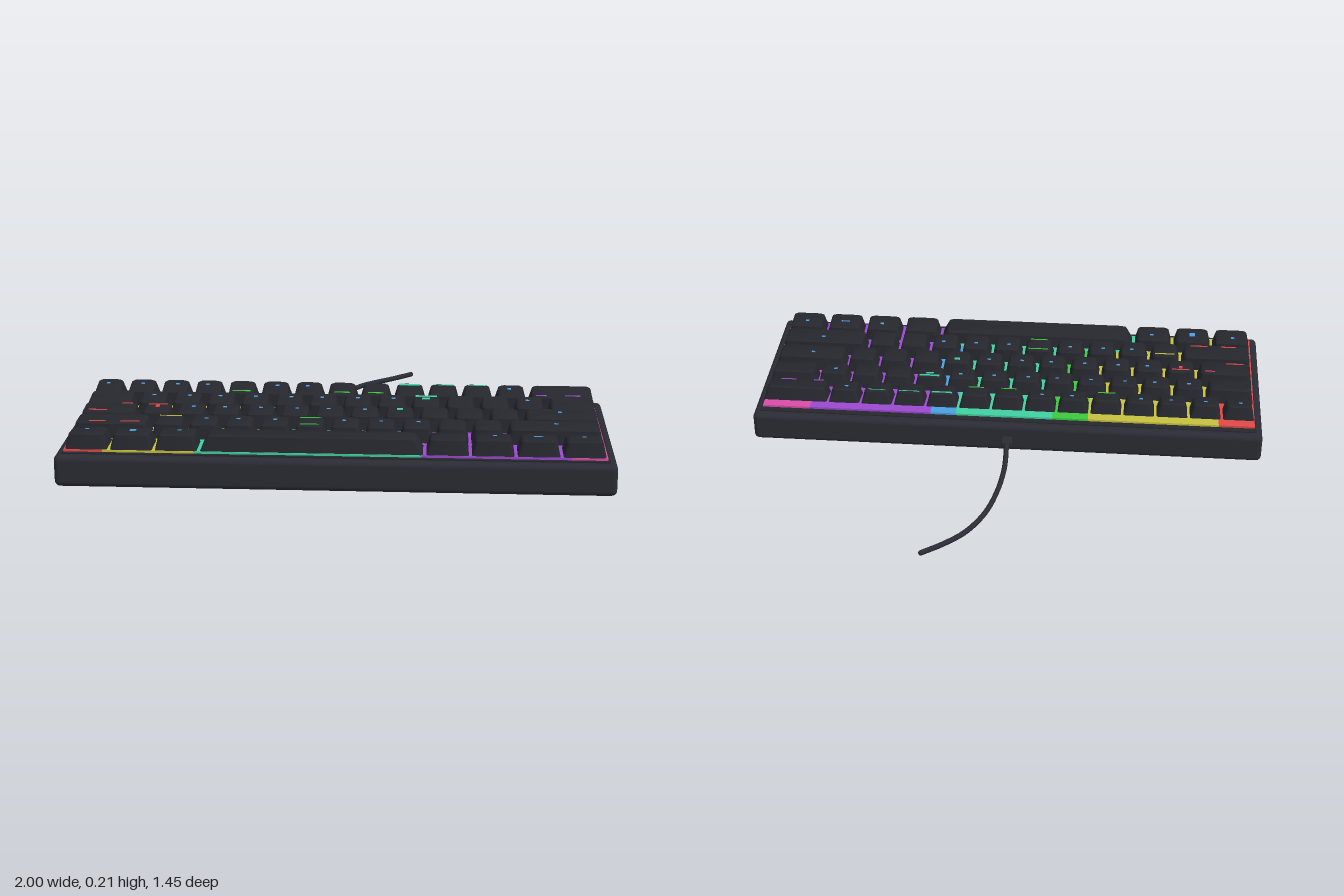
import * as THREE from 'three';
import { toCreasedNormals } from 'three/addons/utils/BufferGeometryUtils.js';
import { RoundedBoxGeometry } from 'three/addons/geometries/RoundedBoxGeometry.js';

const paint = (name, color) => {
  const m = new THREE.MeshStandardMaterial({ color });
  m.name = name;
  return m;
};

// Closed solid from stacked loops of points, ordered counterclockwise from above
function loftLoops(loops) {
  const pos = [], n = loops[0].length;
  const centre = (loop) => loop.reduce((s, p) => s.add(p), new THREE.Vector3()).divideScalar(n);
  const tri = (a, b, c) => [a, b, c].forEach((p) => pos.push(p.x, p.y, p.z));
  const first = loops[0], last = loops[loops.length - 1];
  const c0 = centre(first), c1 = centre(last);
  for (let i = 0; i < n; i++) {
    const j = (i + 1) % n;
    for (let k = 0; k < loops.length - 1; k++) {
      const a = loops[k], b = loops[k + 1];
      tri(a[i], a[j], b[j]);
      tri(a[i], b[j], b[i]);
    }
    tri(c0, first[j], first[i]);
    tri(c1, last[i], last[j]);
  }
  const g = new THREE.BufferGeometry();
  g.setAttribute('position', new THREE.Float32BufferAttribute(pos, 3));
  return toCreasedNormals(g, 0.6);
}

// Rounded rectangle lying on the slope from front edge (zf, yf) to back edge (zb, yb)
function slopedLoop(x0, x1, zf, yf, zb, yb, r) {
  const pts = [];
  const corners = [[x1 - r, zb + r], [x0 + r, zb + r], [x0 + r, zf - r], [x1 - r, zf - r]];
  corners.forEach(([cx, cz], q) => {
    for (let s = 0; s < 4; s++) {
      const a = (q + s / 3) * Math.PI / 2;
      const z = cz - r * Math.sin(a);
      pts.push(new THREE.Vector3(cx + r * Math.cos(a), yf + (yb - yf) * (zf - z) / (zf - zb), z));
    }
  });
  return pts;
}

export function createModel() {
  const root = new THREE.Group();
  root.name = 'keyboard';
  const caseMat = paint('case charcoal', 0x2b2b34);
  const keyMat = paint('key charcoal', 0x26272d);
  const darkMat = paint('underside black', 0x1b1b1d);
  const glow = {
    r: paint('glow red', 0xe04848), y: paint('glow yellow', 0xc8c040), g: paint('glow green', 0x3cc840),
    t: paint('glow teal', 0x40d0a0), b: paint('glow blue', 0x4a9fe0), p: paint('glow purple', 0x9a48d0),
    k: paint('glow pink', 0xd84ca8),
  };
  const add = (parent, name, geo, mat, x = 0, y = 0, z = 0) => {
    const m = new THREE.Mesh(geo, mat);
    m.name = name;
    m.position.set(x, y, z);
    parent.add(m);
    return m;
  };
  const slab = (parent, name, mat, x0, x1, y0, y1, z0, z1) =>
    add(parent, name, new THREE.BoxGeometry(x1 - x0, y1 - y0, z1 - z0), mat, (x0 + x1) / 2, (y0 + y1) / 2, (z0 + z1) / 2);

  // Case, underside and feet
  add(root, 'case', new RoundedBoxGeometry(2, 0.116, 0.75, 3, 0.02), caseMat, 0, 0.068, 0.345);
  slab(root, 'underside', darkMat, -0.98, 0.98, 0.008, 0.014, -0.01, 0.70);
  slab(root, 'keyPlate', keyMat, -0.975, 0.975, 0.12, 0.13, 0.0, 0.69);
  for (const s of [-1, 1])
    for (const z of [0.125, 0.58])
      add(root, 'foot', new RoundedBoxGeometry(0.2, 0.016, 0.065, 2, 0.004), darkMat, s * 0.735, 0.008, z);

  // Coloured light layer showing through the key gaps
  const lights = new THREE.Group();
  lights.name = 'lightLayer';
  root.add(lights);
  const bands = (z0, z1, list) => list.forEach(([c, x0, x1]) =>
    slab(lights, 'lightBand', glow[c], x0, x1, 0.13, 0.138, z0, z1));
  bands(0.025, 0.535, [['r', -0.97, -0.83], ['y', -0.83, -0.32], ['g', -0.32, -0.18], ['t', -0.18, 0.2],
    ['b', 0.2, 0.3], ['p', 0.3, 0.78], ['k', 0.78, 0.967]]);
  bands(0.535, 0.675, [['r', -0.97, -0.83], ['y', -0.83, -0.5], ['t', -0.5, 0.31], ['p', 0.31, 0.84], ['k', 0.84, 0.967]]);

  // Rows from back to front: key widths in units, then [z, y] of base front, base back, top front, top back
  const ones = (n) => Array(n).fill(1);
  const rows = [
    { w: [...ones(13), 2], p: [[0.148, 0.139], [0.033, 0.16], [0.143, 0.195], [0.049, 0.213]] },
    { w: [1.5, ...ones(12), 1.5], p: [[0.28, 0.138], [0.164, 0.149], [0.275, 0.195], [0.178, 0.207]] },
    { w: [1.75, ...ones(11), 2.25], p: [[0.411, 0.138], [0.294, 0.142], [0.403, 0.195], [0.304, 0.201]] },
    { w: [2.25, ...ones(10), 2.75], p: [[0.541, 0.137], [0.424, 0.137], [0.533, 0.195], [0.43, 0.196]] },
    { w: [1.25, 1.25, 1.25, 6.25, 1.25, 1.25, 1.25, 1.25], p: [[0.673, 0.135], [0.555, 0.135], [0.661, 0.196], [0.562, 0.189]] },
  ];

  // Small marks: key index, colour, offset across and forward, width, depth
  const marks = [
    [[4, 'g', 0, 0.034, 0.07, 0.006], [7, 'g', 0, 0.034, 0.06, 0.005], [8, 'g', 0, 0.034, 0.06, 0.005],
      [9, 't', 0, -0.034, 0.08, 0.012], [10, 't', 0, -0.036, 0.08, 0.006], [11, 't', 0, -0.036, 0.07, 0.005],
      [13, 'p', -0.08, 0.036, 0.04, 0.006], [13, 'p', 0.04, 0.036, 0.06, 0.006]],
    [[9, 't', 0, -0.036, 0.08, 0.012], [9, 't', 0, -0.015, 0.03, 0.012]],
    [[0, 'r', -0.04, 0.034, 0.07, 0.006], [0, 'r', 0.06, -0.034, 0.04, 0.006], [1, 'r', 0, -0.03, 0.07, 0.006],
      [1, 'r', 0, -0.012, 0.015, 0.02], [8, 't', 0, -0.02, 0.022, 0.016]],
    [[0, 'r', -0.05, 0.036, 0.06, 0.006], [0, 'r', 0.07, 0.036, 0.07, 0.006], [1, 'y', 0, -0.036, 0.08, 0.006],
      [5, 'g', 0, -0.038, 0.08, 0.005], [5, 'g', 0, 0.036, 0.07, 0.005]],
    [[1, 'b', 0, 0.0, 0.022, 0.022], [6, 'b', 0, -0.005, 0.035, 0.006]],
  ];
  // Keys that carry a plain small blue mark
  const dots = [[0, 1, 2, 3, 5, 6, 12], [1, 2, 3, 4, 5, 6, 7, 8, 12], [2, 3, 4, 5, 6, 7, 12], [2, 3, 4, 6, 7, 8, 11], [0, 2, 5, 7]];

  const unit = 1.937 / 15, gap = 0.005;
  rows.forEach(({ w, p: [bf, bb, tf, tb] }, ri) => {
    const row = new THREE.Group();
    row.name = 'keyRow' + (ri + 1);
    root.add(row);
    let x = -0.97;
    const mid = [];
    w.forEach((u) => {
      const a = x + gap, b = x + u * unit - gap, inset = u > 5 ? 0.03 : 0.014;
      // Side section, short of the top edge, then a small bevel
      const mix = (s, t, f) => s.map((v, i) => v + (t[i] - v) * f);
      const f = mix(bf, tf, 0.9), k = mix(bb, tb, 0.9);
      add(row, 'key', loftLoops([
        slopedLoop(a, b, ...bf, ...bb, 0.008),
        slopedLoop(a + inset * 0.85, b - inset * 0.85, ...f, ...k, 0.014),
        slopedLoop(a + inset + 0.005, b - inset - 0.005, tf[0] - 0.006, tf[1], tb[0] + 0.006, tb[1], 0.014),
      ]), keyMat);
      mid.push((a + b) / 2);
      x += u * unit;
    });
    const tilt = Math.atan2(tb[1] - tf[1], tf[0] - tb[0]);
    const all = [...marks[ri], ...dots[ri].map((i) => [i, 'b', (i % 3 - 1) * 0.006, -0.012, 0.014, 0.01])];
    all.forEach(([i, c, dx, dz, mw, md]) => {
      const y = (tf[1] + tb[1]) / 2 - dz * Math.tan(tilt);
      const m = add(row, 'keyMark', new THREE.BoxGeometry(mw, 0.002, md), glow[c], mid[i] + dx, y + 0.0005, (tf[0] + tb[0]) / 2 + dz);
      m.rotation.x = tilt;
    });
  });

  // Cable with its plug sleeve
  add(root, 'cableSleeve', new RoundedBoxGeometry(0.044, 0.026, 0.05, 2, 0.008), caseMat, -0.008, 0.064, -0.045);
  const path = new THREE.CatmullRomCurve3([
    [-0.008, 0.063, -0.05], [-0.012, 0.056, -0.22], [0.005, 0.046, -0.36], [0.04, 0.034, -0.48],
    [0.1, 0.022, -0.58], [0.17, 0.018, -0.65], [0.25, 0.02, -0.716],
  ].map((v) => new THREE.Vector3(...v)));
  add(root, 'cable', new THREE.TubeGeometry(path, 40, 0.01, 10), caseMat);
  const tip = add(root, 'cableTip', new THREE.SphereGeometry(0.01, 10, 8), caseMat);
  tip.position.copy(path.getPoint(1));
  return root;
}
